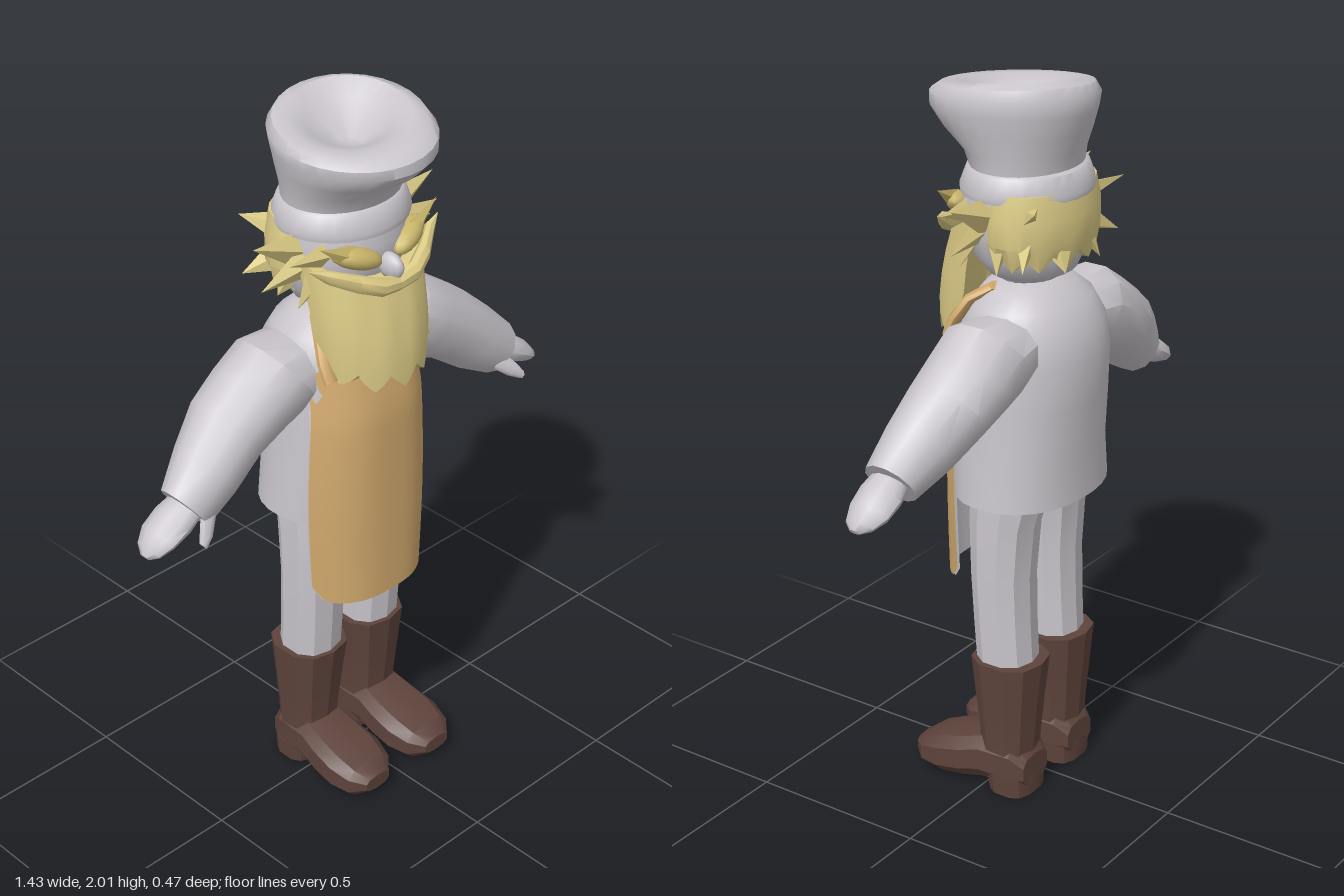
import * as THREE from 'three';
import { toCreasedNormals } from 'three/addons/utils/BufferGeometryUtils.js';

const V = (x, y, z) => new THREE.Vector3(x, y, z);
const mat = (name, color, side = THREE.FrontSide) => {
  const m = new THREE.MeshStandardMaterial({ color, side });
  m.name = name;
  return m;
};

// Closed skin over a list of point rings, capped at both ends, always facing outwards.
function loft(rings, crease = 0.9) {
  const n = rings[0].length, pts = rings.flat(), idx = [];
  for (let r = 0; r < rings.length - 1; r++) for (let i = 0; i < n; i++) {
    const a = r * n + i, b = r * n + (i + 1) % n;
    idx.push(a, b, a + n, b, b + n, a + n);
  }
  [0, rings.length - 1].forEach((r, end) => {
    const c = V(0, 0, 0);
    rings[r].forEach(p => c.addScaledVector(p, 1 / n));
    const k = pts.push(c) - 1;
    for (let i = 0; i < n; i++) {
      const a = r * n + i, b = r * n + (i + 1) % n;
      idx.push(k, ...(end ? [a, b] : [b, a]));
    }
  });
  let vol = 0;
  for (let i = 0; i < idx.length; i += 3)
    vol += pts[idx[i]].dot(V(0, 0, 0).crossVectors(pts[idx[i + 1]], pts[idx[i + 2]]));
  if (vol < 0) idx.reverse();
  const g = new THREE.BufferGeometry().setFromPoints(pts);
  g.setIndex(idx);
  return toCreasedNormals(g, crease);
}

// Oval ring around c spanned by two half-axes; k < 1 makes it squarer.
function oval(c, u, v, n, k = 1) {
  const f = t => Math.sign(t) * Math.pow(Math.abs(t), k);
  return Array.from({ length: n }, (_, i) => {
    const a = (i + 0.5) / n * Math.PI * 2;
    return c.clone().addScaledVector(u, f(Math.cos(a))).addScaledVector(v, f(Math.sin(a)));
  });
}

// Upright rows: [y, centre x, back z, front z, half width]
const upright = (rows, n, k, sx = 1) => rows.map(([y, cx, zb, zf, w]) =>
  oval(V(cx * sx, y, (zb + zf) / 2), V(w, 0, 0), V(0, 0, (zf - zb) / 2), n, k));

// Limb rows: [x, y, z, radius across, radius in z], square to the slope (dx, dy)
const limb = (rows, n, sx, dx, dy) => rows.map(([x, y, z, r, rz]) =>
  oval(V(x * sx, y, z), V(-dy * r * sx, dx * r, 0), V(0, 0, rz), n));

// Flattened four-sided tuft from base to tip
function tuft(base, tip, r, flat = 0.6) {
  const d = tip.clone().sub(base), g = new THREE.ConeGeometry(r, d.length(), 4, 1).toNonIndexed();
  g.scale(1, 1, flat);
  g.computeVertexNormals();
  g.applyQuaternion(new THREE.Quaternion().setFromUnitVectors(V(0, 1, 0), d.clone().normalize()));
  const m = base.clone().add(tip).multiplyScalar(0.5);
  return g.translate(m.x, m.y, m.z);
}

export function createModel() {
  const model = new THREE.Group();
  model.name = 'beardedCook';
  const white = mat('paleCloth', 0xc9c5cb, THREE.DoubleSide), hairM = mat('blondHair', 0xdccb86);
  const browM = mat('browHair', 0xc8b469), apronM = mat('apronTan', 0xd2aa6e, THREE.DoubleSide);
  const bootM = mat('bootBrown', 0x5e433c);
  const add = (name, geo, m) => {
    const mesh = new THREE.Mesh(geo, m);
    mesh.name = name;
    model.add(mesh);
    return mesh;
  };

  // Shirt and hips
  add('shirt', loft(upright([
    [0.88, 0, -0.225, 0.13, 0.235], [1.0, 0, -0.222, 0.14, 0.226], [1.15, 0, -0.235, 0.145, 0.215],
    [1.27, 0, -0.24, 0.14, 0.212], [1.35, 0, -0.225, 0.12, 0.205], [1.41, 0, -0.19, 0.09, 0.18],
    [1.45, 0, -0.145, 0.06, 0.135], [1.47, 0, -0.11, 0.03, 0.08]], 28, 0.9)), white);
  add('hips', loft(upright([[0.82, 0, -0.12, 0.03, 0.13], [0.86, 0, -0.16, 0.05, 0.19],
    [0.95, 0, -0.17, 0.06, 0.2]], 16, 0.9)), white);

  // Apron with a pale lining
  const apron = inset => {
    const g = new THREE.PlaneGeometry(2, 1, 20, 16), p = g.attributes.position;
    for (let i = 0; i < p.count; i++) {
      const u = p.getX(i), t = p.getY(i) + 0.5, a = Math.abs(u);
      const corner = Math.max(0, a - 0.78) / 0.22;
      const low = 0.625 + 0.045 * (1 - Math.sqrt(1 - corner * corner));
      const y = low + (1.335 - low) * t;
      const w = 0.198 + 0.014 * Math.sin(Math.min(1, t * 1.15) * Math.PI) - 0.008 * t;
      const zf = 0.16 - 0.025 * Math.max(0, t - 0.8) / 0.2;
      p.setXYZ(i, u * w, y, zf - 0.105 * Math.pow(a, 3) - inset);
    }
    g.computeVertexNormals();
    return g;
  };
  add('apron', apron(0), apronM);
  add('apronLining', apron(0.008), white);

  for (const s of [1, -1]) {
    const side = s > 0 ? 'left' : 'right';
    // Apron strap over the shoulder
    const strap = [[0.165, 1.32, 0.098], [0.165, 1.37, 0.075], [0.145, 1.425, 0.04], [0.11, 1.458, -0.01]];
    add(side + 'ApronStrap', loft(strap.map(([x, y, z]) =>
      oval(V(x * s, y, z), V(0.024, 0, 0), V(0, 0.008, 0.014), 8))), apronM);

    // Sleeve, mitten hand and thumb
    add(side + 'Sleeve', loft(limb([[0.12, 1.325, -0.065, 0.1, 0.11], [0.21, 1.31, -0.06, 0.128, 0.125],
      [0.3, 1.265, -0.06, 0.116, 0.122], [0.39, 1.215, -0.055, 0.105, 0.115],
      [0.48, 1.143, -0.035, 0.097, 0.097], [0.57, 1.075, -0.015, 0.078, 0.072]], 12, s, 0.81, -0.59), 0.6), white);
    add(side + 'Hand', loft(limb([[0.55, 1.09, -0.015, 0.04, 0.05], [0.61, 1.058, -0.015, 0.042, 0.062],
      [0.66, 1.03, -0.015, 0.034, 0.06], [0.695, 1.008, -0.012, 0.022, 0.042],
      [0.711, 0.996, -0.01, 0.008, 0.016]], 10, s, 0.83, -0.55)), white);
    add(side + 'Thumb', loft(limb([[0.53, 1.07, 0.03, 0.028, 0.02], [0.565, 1.035, 0.058, 0.022, 0.02],
      [0.59, 1.012, 0.074, 0.012, 0.012]], 7, s, 0.8, -0.6)), white);

    // Trouser leg
    add(side + 'TrouserLeg', loft(upright([[0.36, 0.11, -0.13, 0.03, 0.08], [0.5, 0.11, -0.122, 0.04, 0.083],
      [0.65, 0.11, -0.118, 0.048, 0.087], [0.8, 0.107, -0.13, 0.054, 0.09],
      [0.92, 0.1, -0.16, 0.055, 0.095]], 10, 0.85, s), 0.45), white);

    // Boot: shaft, foot running along z, and heel
    add(side + 'BootShaft', loft(upright([[0.08, 0.112, -0.13, 0.02, 0.08], [0.17, 0.112, -0.135, 0.02, 0.078],
      [0.28, 0.111, -0.145, 0.032, 0.088], [0.4, 0.109, -0.157, 0.046, 0.098]], 10, 0.8, s), 0.4), bootM);
    const foot = [[-0.138, 0.03, 0.12, 0.06], [-0.1, 0.015, 0.17, 0.08], [0, 0.018, 0.168, 0.083],
      [0.06, 0.006, 0.148, 0.092], [0.13, 0, 0.13, 0.097], [0.19, 0.004, 0.105, 0.082], [0.228, 0.03, 0.075, 0.045]];
    add(side + 'BootFoot', loft(foot.map(([z, lo, hi, w]) => oval(V((0.113 + z * 0.02) * s, (lo + hi) / 2, z),
      V(w, 0, 0), V(0, (hi - lo) / 2, 0), 10, 0.75)), 0.5), bootM);
    add(side + 'BootHeel', loft(upright([[0, 0.112, -0.14, -0.015, 0.075],
      [0.06, 0.112, -0.14, -0.005, 0.08]], 12, 0.7, s), 0.5), bootM);

    // Brow with its upswept end
    const brow = add(side + 'Brow', new THREE.SphereGeometry(1, 14, 10), browM);
    brow.scale.set(0.072, 0.029, 0.035);
    brow.position.set(0.09 * s, 1.655, 0.112);
    brow.rotation.set(0, 0.38 * s, 0.3 * s);
    add(side + 'BrowTip', tuft(V(0.11 * s, 1.665, 0.115), V(0.205 * s, 1.715, 0.1), 0.028), browM);

    // Moustache half, sweeping up and outwards
    const mo = [[0, 1.572, 0.165, 0.022], [0.06, 1.582, 0.165, 0.026], [0.12, 1.605, 0.14, 0.026],
      [0.18, 1.63, 0.1, 0.02], [0.225, 1.655, 0.085, 0.002]];
    add(side + 'Moustache', loft(mo.map(([x, y, z, r]) =>
      oval(V(x * s, y, z), V(0, r, 0), V(0, 0, r * 0.9), 8)), 0.7), hairM);

    // Wild tufts: [base], [tip], radius
    [[[0.15, 1.655, -0.02], [0.315, 1.71, -0.02], 0.055], [[0.15, 1.63, 0], [0.3, 1.59, -0.01], 0.05],
      [[0.15, 1.6, 0.03], [0.215, 1.525, 0.03], 0.045], [[0.14, 1.66, 0.05], [0.26, 1.67, 0.05], 0.035],
      [[0.11, 1.66, -0.11], [0.205, 1.705, -0.195], 0.05], [[0.12, 1.6, -0.11], [0.22, 1.55, -0.17], 0.05],
      [[0.15, 1.59, -0.05], [0.19, 1.515, -0.07], 0.05], [[0.06, 1.6, -0.16], [0.08, 1.52, -0.205], 0.05]]
      .forEach(([b, t, r], i) => add(side + 'HairTuft' + i,
        tuft(V(b[0] * s, b[1], b[2]), V(t[0] * s, t[1], t[2]), r), hairM));
  }

  // Head and nose
  add('head', loft(upright([[1.43, 0, -0.1, 0.03, 0.08], [1.47, 0, -0.12, 0.035, 0.09],
    [1.49, 0, -0.16, 0.06, 0.13], [1.54, 0, -0.18, 0.1, 0.165], [1.61, 0, -0.185, 0.125, 0.178],
    [1.67, 0, -0.185, 0.13, 0.178], [1.74, 0, -0.18, 0.11, 0.165]], 20)), white);
  const nose = add('nose', new THREE.SphereGeometry(1, 12, 10), white);
  nose.scale.set(0.024, 0.036, 0.042);
  nose.position.set(0, 1.612, 0.142);

  // Hair around the back of the head, with a ragged lower edge
  const hair = upright([[1.545, 0, -0.195, 0.02, 0.172], [1.59, 0, -0.207, 0.045, 0.19],
    [1.66, 0, -0.208, 0.05, 0.192], [1.725, 0, -0.195, 0.03, 0.178]], 22);
  hair[0].forEach((p, i) => { p.y += i % 2 ? -0.02 : 0.015; });
  add('hair', loft(hair, 0.5), hairM);

  // Beard: curved slab with a jagged hem
  const rows = [[0, 0.15, 0.19], [0.25, 0.172, 0.183], [0.5, 0.188, 0.178], [0.75, 0.198, 0.174], [1, 0.2, 0.166]];
  const steps = 20;
  const beard = rows.map(([t, zf, w], r) => {
    const line = back => Array.from({ length: steps + 1 }, (_, i) => {
      const u = i / steps * 2 - 1, jag = [0, 0.02, 0.045, 0.02][(i + 2) % 4];
      const top = 1.57 + 0.075 * u * u, low = 1.285 + jag + 0.05 * u * u;
      const thick = r === rows.length - 1 ? 0.012 : 0.06;
      return V(w * Math.sin(u * 1.35) / Math.sin(1.35), top + (low - top) * t,
        zf - 0.125 * u * u - (back ? thick * (1 - 0.5 * u * u) : 0));
    });
    return [...line(false), ...line(true).reverse()];
  });
  add('beard', loft(beard, 0.7), hairM);

  // Hat: [y, half width, half depth, centre z, lean]
  const hat = [[1.7, 0.187, 0.166, -0.036, 0], [1.715, 0.19, 0.168, -0.036, 0], [1.765, 0.175, 0.148, -0.036, 0],
    [1.77, 0.168, 0.138, -0.034, 0], [1.81, 0.173, 0.15, -0.028, 0], [1.86, 0.188, 0.192, -0.006, 0.003],
    [1.91, 0.2, 0.222, 0.008, 0.008], [1.945, 0.203, 0.224, 0.004, 0.014], [1.97, 0.188, 0.2, -0.004, 0.018],
    [1.978, 0.155, 0.16, -0.01, 0.02], [1.955, 0.105, 0.11, -0.01, 0.012], [1.9, 0.03, 0.03, 0, 0]];
  add('chefHat', loft(hat.map(([y, w, d, z, lean]) =>
    oval(V(0, y, z), V(w, lean, 0), V(0, -lean, d), 28)), 0.8), white);

  return model;
}
